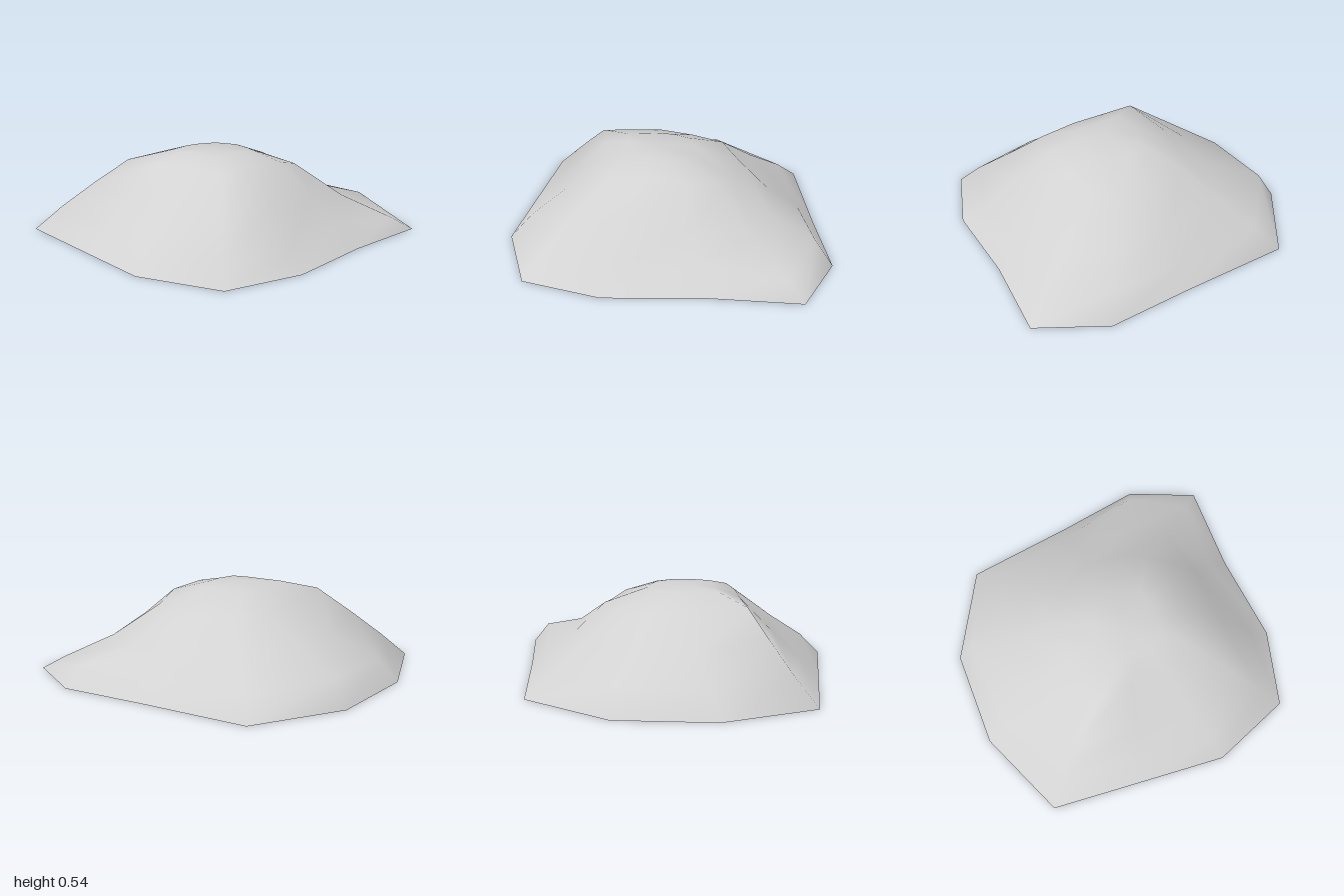
import * as THREE from 'three';

// Each spoke: base x, base z, then steps up the slope as
// [fraction of base radius, height, optional sideways shift in x]
const SPOKES = [
  [0.94, -0.25, [0.85, 0.14], [0.68, 0.29], [0.46, 0.47]],
  [0.99, 0.33, [0.87, 0.08], [0.67, 0.3], [0.43, 0.485]],
  [0.86, 0.81, [0.87, 0.13], [0.68, 0.28], [0.45, 0.47]],
  [0.36, 1.0, [0.87, 0.14], [0.66, 0.29], [0.42, 0.48]],
  [-0.15, 0.955, [0.88, 0.1], [0.69, 0.27], [0.47, 0.48]],
  [-0.76, 0.9, [0.85, 0.15], [0.7, 0.31, 0.05], [0.55, 0.47, 0.12]],
  [-1.0, 0.34, [0.88, 0.13], [0.6, 0.28], [0.36, 0.46]],
  [-1.0, -0.27, [0.9, 0.16], [0.58, 0.29], [0.36, 0.43]],
  [-0.7, -0.81, [0.85, 0.12], [0.6, 0.27], [0.37, 0.43]],
  [0.0, -0.91, [0.88, 0.11], [0.67, 0.23], [0.46, 0.42]],
  [0.53, -1.0, [0.89, 0.14], [0.63, 0.22], [0.4, 0.39]],
  [0.95, -0.82, [0.88, 0.08], [0.63, 0.22], [0.39, 0.42]],
];
const SUMMIT = new THREE.Vector3(0.05, 0.535, 0.13);

function moundGeometry() {
  const rings = [[], [], [], [], []];
  for (const [x, z, ...slope] of SPOKES) {
    rings[0].push(new THREE.Vector3(x, 0, z));
    slope.forEach(([f, y, shift = 0], i) => {
      rings[i + 1].push(new THREE.Vector3(x * f + shift, y, z * f));
    });
    // rim of the plateau, halfway to the summit and slightly domed
    const rim = rings[3].at(-1).clone().lerp(SUMMIT, 0.5);
    rim.y = 0.37 + rim.y * 0.31;
    rings[4].push(rim);
  }

  const n = SPOKES.length;
  const points = [...rings.flat(), SUMMIT];
  const index = [];
  for (let j = 0; j < n; j++) {
    const k = (j + 1) % n;
    for (let r = 0; r < rings.length - 1; r++) {
      const a = r * n + j, b = r * n + k, c = a + n, d = b + n;
      index.push(a, c, b, b, c, d);
    }
    // plateau fan
    const top = (rings.length - 1) * n;
    index.push(points.length - 1, top + k, top + j);
  }

  const geometry = new THREE.BufferGeometry().setFromPoints(points);
  geometry.setIndex(index);
  geometry.computeVertexNormals();
  return geometry;
}

export function createModel() {
  const group = new THREE.Group();
  group.name = 'hill';

  // open underneath, so both sides show
  const stone = new THREE.MeshStandardMaterial({ color: 0xd2d2d2, side: THREE.DoubleSide });
  stone.name = 'pale grey';

  const mound = new THREE.Mesh(moundGeometry(), stone);
  mound.name = 'mound';
  group.add(mound);
  return group;
}
